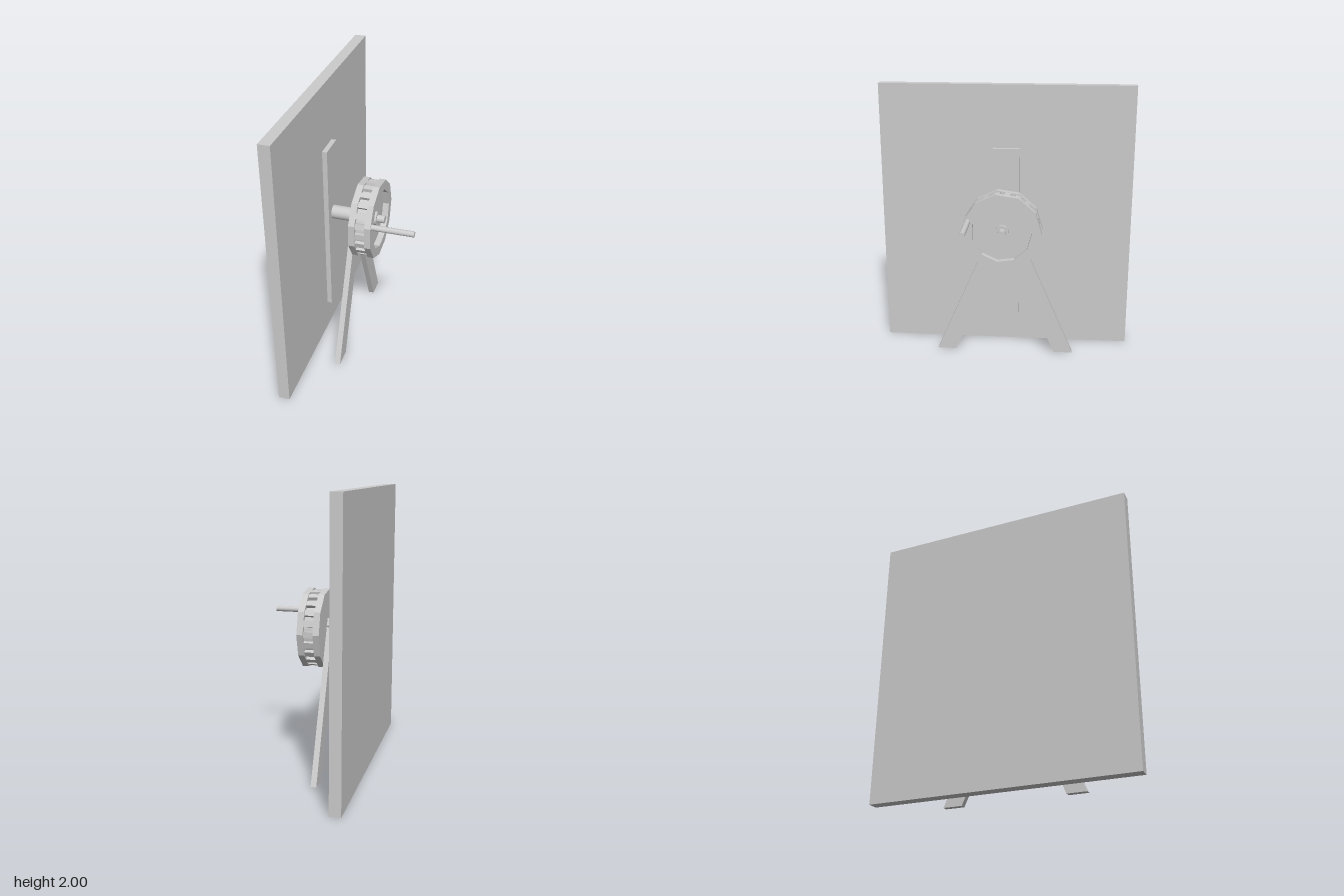
import * as THREE from 'three';

const AXLE_Y = 1;
const SIDES = 11;

export function createModel() {
  const model = new THREE.Group();
  const material = new THREE.MeshStandardMaterial({ color: 0xcccccc });
  const flat = new THREE.MeshStandardMaterial({ color: 0xcccccc, flatShading: true });

  function add(name, geometry, mat = flat, parent = model) {
    const mesh = new THREE.Mesh(geometry, mat);
    mesh.name = name;
    parent.add(mesh);
    return mesh;
  }

  // Box spanning x0..x1, y0..y1 and centred on z = 0
  function slab(name, x0, x1, y0, y1, depth) {
    add(name, new THREE.BoxGeometry(x1 - x0, y1 - y0, depth))
      .position.set((x0 + x1) / 2, (y0 + y1) / 2, 0);
  }

  // Rod along x
  function rod(name, radius, x0, x1, y, z, segments, mat, parent) {
    const geometry = new THREE.CylinderGeometry(radius, radius, x1 - x0, segments);
    geometry.rotateZ(-Math.PI / 2);
    const mesh = add(name, geometry, mat, parent);
    mesh.position.set((x0 + x1) / 2, y, z);
    return mesh;
  }

  // Extrude a side profile along x; the profile's first axis is -z
  function extrudeX(shape, x0, x1) {
    return new THREE.ExtrudeGeometry(shape, { depth: x1 - x0, bevelEnabled: false })
      .rotateY(Math.PI / 2).translate(x0, 0, 0);
  }

  function polygon(radius) {
    return Array.from({ length: SIDES }, (_, i) => {
      const a = (i / SIDES) * Math.PI * 2;
      return new THREE.Vector2(Math.cos(a) * radius, Math.sin(a) * radius);
    });
  }

  // Wall panel and upright backing board
  slab('wallPanel', -0.39, -0.31, 0, 2, 1.88);
  slab('backingBoard', -0.31, -0.275, 0.225, 1.535, 0.2);

  // Splayed legs, square at the top and cut level at the floor
  const leg = [[0.505, 0], [0.365, 0], [-0.085, 1.035], [0.032, 1.085]];
  for (const [name, side, shift] of [['frontLeg', 1, 0], ['rearLeg', -1, -0.02]]) {
    const shape = new THREE.Shape(leg.map(([z, y]) => new THREE.Vector2(-(z * side + shift), y)));
    add(name, extrudeX(shape, -0.12, -0.08));
  }

  // Axle with its thinner end pin
  rod('axle', 0.05, -0.31, 0.06, AXLE_Y, 0, 32, material);
  rod('axlePin', 0.028, 0.05, 0.115, AXLE_Y, 0, 24, material);

  // Wheel: solid rear rim, open front rim, and a cogged drum between them
  const wheel = new THREE.Group();
  wheel.name = 'wheel';
  wheel.position.y = AXLE_Y;
  model.add(wheel);

  add('rearRim', extrudeX(new THREE.Shape(polygon(0.287)), -0.075, -0.03), flat, wheel);
  const ring = new THREE.Shape(polygon(0.287));
  ring.holes.push(new THREE.Path(polygon(0.217)));
  add('frontRim', extrudeX(ring, 0.04, 0.085), flat, wheel);
  rod('drum', 0.25, -0.03, 0.04, 0, 0, 44, material, wheel);

  const teeth = 22;
  for (let i = 0; i < teeth; i++) {
    const geometry = new THREE.BoxGeometry(0.07, 0.04, 0.042);
    geometry.translate(0.005, 0.254, 0).rotateX(((i + 0.5) / teeth) * Math.PI * 2);
    add('drumTooth', geometry, flat, wheel);
  }

  // Crank handle on the front rim
  rod('crankHandle', 0.021, 0.07, 0.39, 1.08, 0.243, 20, material);

  return model;
}
